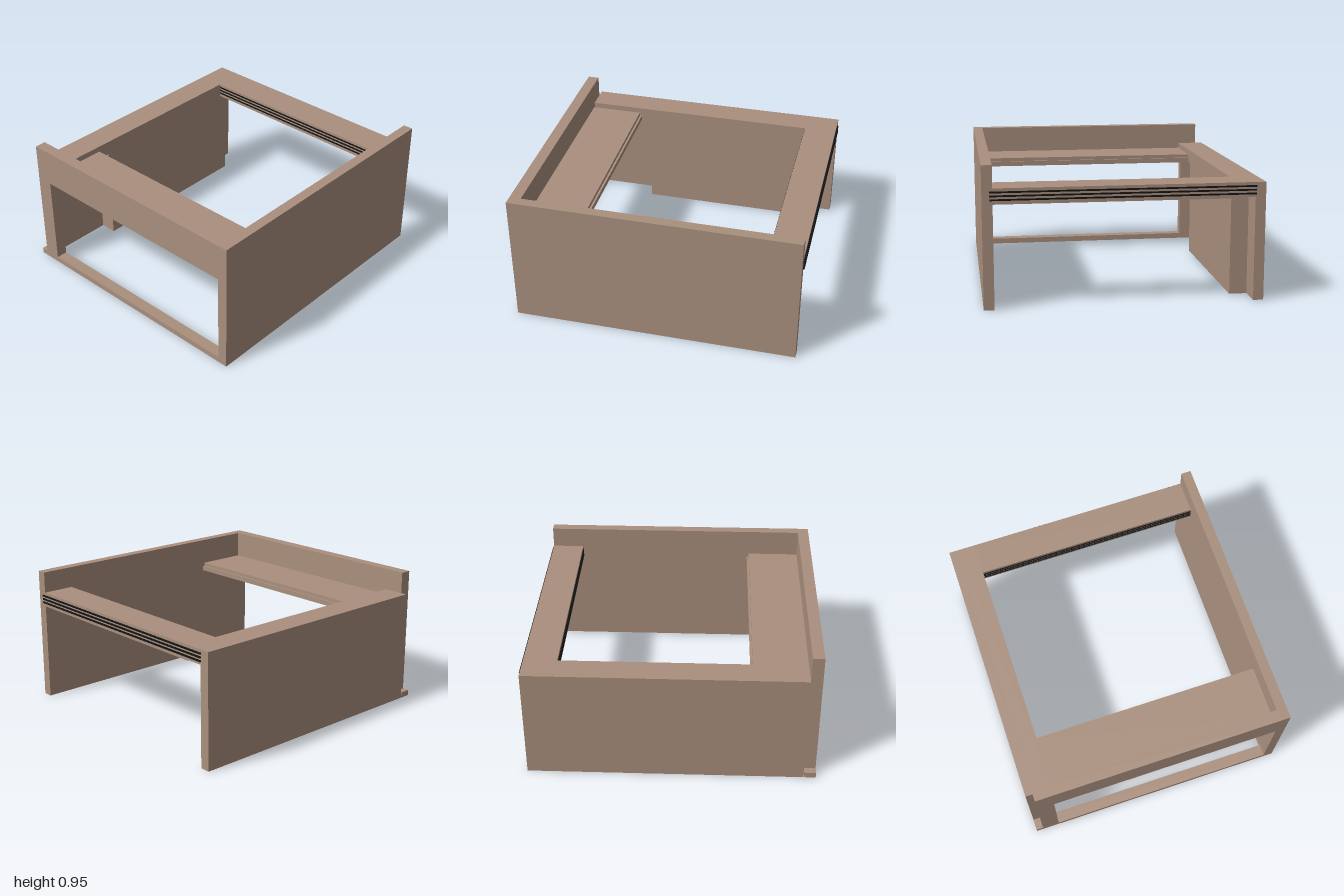
import * as THREE from 'three';

const wood = new THREE.MeshStandardMaterial({ color: 0xa98f7d });
const black = new THREE.MeshStandardMaterial({ color: 0x141414 });

export function createModel() {
  const model = new THREE.Group();

  // Box given by its extents along x, y and z
  const box = (name, [x0, x1], [y0, y1], [z0, z1], material = wood, parent = model) => {
    const mesh = new THREE.Mesh(new THREE.BoxGeometry(x1 - x0, y1 - y0, z1 - z0), material);
    mesh.position.set((x0 + x1) / 2, (y0 + y1) / 2, (z0 + z1) / 2);
    mesh.name = name;
    parent.add(mesh);
    return mesh;
  };
  const group = (name) => {
    const g = new THREE.Group();
    g.name = name;
    model.add(g);
    return g;
  };

  // Tall front panel
  box('frontPanel', [-1, 0.99], [0, 0.95], [0.86, 0.93]);

  // Open side frame: top rail, back post and low bottom rail
  const frame = group('sideFrame');
  box('sideTopRail', [-1, -0.92], [0.69, 0.95], [-0.88, 0.86], wood, frame);
  box('sideBackPost', [-1, -0.92], [0.04, 0.69], [-0.88, -0.76], wood, frame);
  box('sideBottomRail', [-1, -0.92], [0, 0.04], [-0.93, 0.86], wood, frame);

  // Back panel, its top ledge and the thick inner block below the ledge
  const back = group('back');
  box('backPanel', [-0.915, 0.99], [0, 0.8], [-0.93, -0.86], wood, back);
  box('backLedge', [-0.915, 0.99], [0.7, 0.8], [-0.86, -0.74], wood, back);
  box('backInnerBlock', [-0.46, 0.82], [0, 0.7], [-0.86, -0.74], wood, back);

  // Rail on the open side with three dark strips running through it
  const rail = group('slottedRail');
  box('railBoard', [0.76, 0.99], [0.695, 0.8], [-0.74, 0.86], wood, rail);
  for (const y of [0.725, 0.75, 0.775]) {
    box('railStripOuter', [0.98, 1], [y - 0.005, y + 0.005], [-0.865, 0.88], black, rail);
    box('railStripInner', [0.755, 0.77], [y - 0.005, y + 0.005], [-0.74, 0.86], black, rail);
  }

  // Shelf with a projecting lower lip and a dark strip underneath
  const shelf = group('shelf');
  box('shelfBoard', [-0.92, -0.545], [0.7, 0.76], [-0.74, 0.86], wood, shelf);
  box('shelfLip', [-0.545, -0.53], [0.7, 0.735], [-0.74, 0.86], wood, shelf);
  box('shelfUnderStrip', [-0.775, -0.725], [0.695, 0.705], [-0.28, 0.4], black, shelf);

  return model;
}
